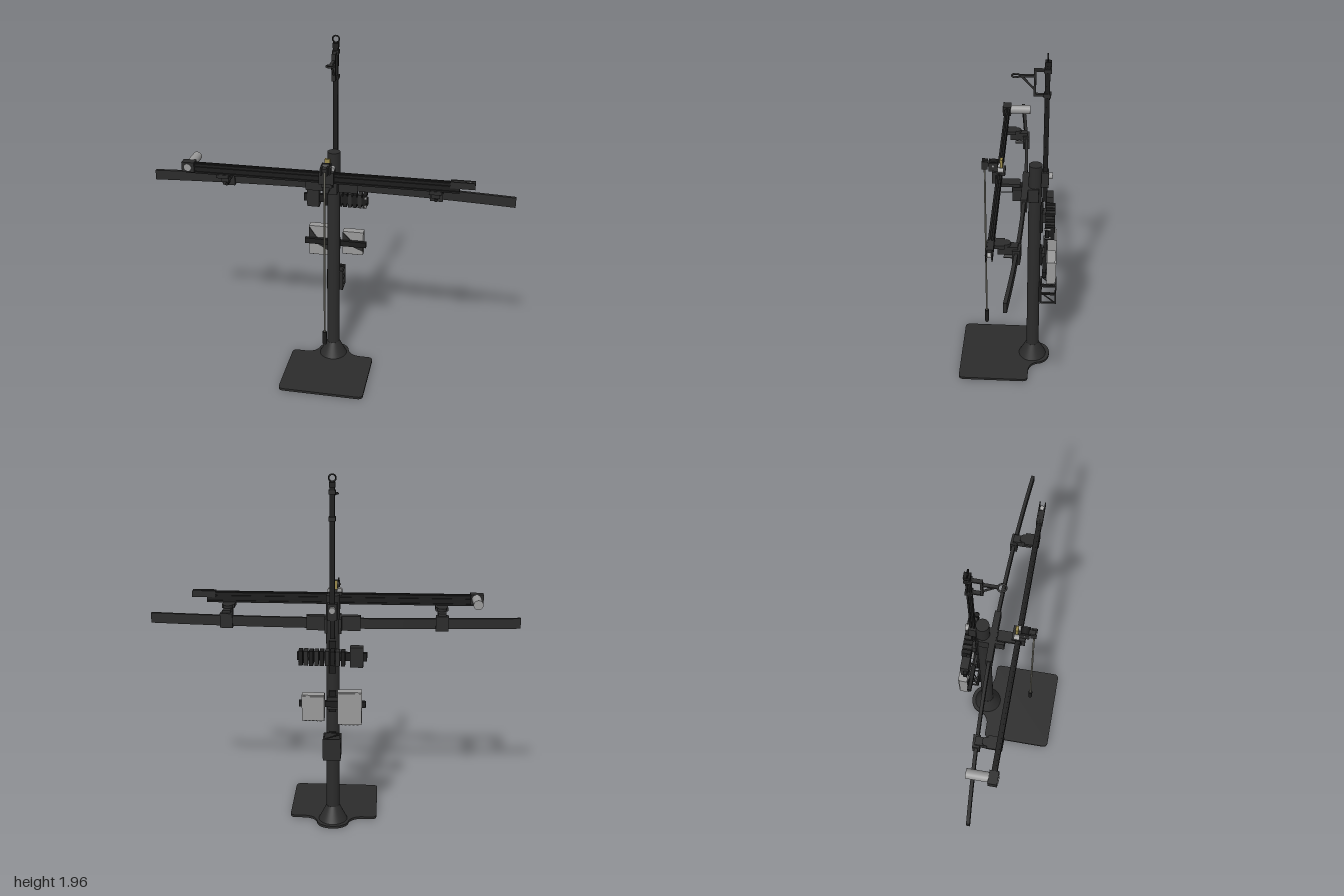
import * as THREE from 'three';

const mat = (color) => new THREE.MeshStandardMaterial({ color, side: THREE.DoubleSide });
const dark = mat(0x2b2b2b), black = mat(0x1b1b1b), grey = mat(0x999999), cord = mat(0x8a887c), brass = mat(0x9a8a4a);

export function createModel() {
  const root = new THREE.Group();
  let parent = root;

  const group = (name) => {
    parent = new THREE.Group();
    parent.name = name;
    root.add(parent);
    return parent;
  };
  const add = (name, geo, material = dark) => {
    const m = new THREE.Mesh(geo, material);
    m.name = name;
    parent.add(m);
    return m;
  };
  // box given by its limits on each axis
  const box = (name, x0, x1, y0, y1, z0, z1, material) => {
    const m = add(name, new THREE.BoxGeometry(x1 - x0, y1 - y0, z1 - z0), material);
    m.position.set((x0 + x1) / 2, (y0 + y1) / 2, (z0 + z1) / 2);
    return m;
  };
  // cylinder between two points
  const rod = (name, a, b, r, material, sides = 20, r2 = r) => {
    const p = new THREE.Vector3(...a), q = new THREE.Vector3(...b), d = q.clone().sub(p);
    const m = add(name, new THREE.CylinderGeometry(r2, r, d.length(), sides), material);
    m.position.copy(p).add(q).multiplyScalar(0.5);
    m.quaternion.setFromUnitVectors(new THREE.Vector3(0, 1, 0), d.normalize());
    return m;
  };
  // horizontal slab: shape drawn in x and -z, raised by h from y
  const slab = (name, shape, y, h, material) => {
    const g = new THREE.ExtrudeGeometry(shape, { depth: h, bevelEnabled: false, curveSegments: 16 });
    const m = add(name, g.rotateX(-Math.PI / 2), material);
    m.position.y = y;
    return m;
  };
  // slotted aluminium profile, w by h, with n slots on the long sides
  const slotted = (w, h, n) => {
    const s = new THREE.Shape(), d = w * 0.22, g = w * 0.14;
    s.moveTo(-w / 2, -h / 2);
    s.lineTo(w / 2, -h / 2);
    const slots = [...Array(n).keys()].map((i) => -h / 2 + (h * (i + 0.5)) / n);
    for (const y of slots) {
      s.lineTo(w / 2, y - g); s.lineTo(w / 2 - d, y - g);
      s.lineTo(w / 2 - d, y + g); s.lineTo(w / 2, y + g);
    }
    s.lineTo(w / 2, h / 2);
    s.lineTo(-w / 2, h / 2);
    for (const y of slots.reverse()) {
      s.lineTo(-w / 2, y + g); s.lineTo(-w / 2 + d, y + g);
      s.lineTo(-w / 2 + d, y - g); s.lineTo(-w / 2, y - g);
    }
    return s;
  };

  // Foot plate with a waisted neck around the post
  const postZ = -0.15;
  group('base');
  const foot = new THREE.Shape();
  foot.moveTo(-0.215, -0.275);
  foot.lineTo(0.215, -0.275);
  foot.quadraticCurveTo(0.245, -0.275, 0.245, -0.245);
  foot.lineTo(0.245, 0.1);
  foot.quadraticCurveTo(0.245, 0.13, 0.215, 0.13);
  foot.lineTo(0.16, 0.13);
  foot.quadraticCurveTo(0.105, 0.135, 0.09, 0.18);
  foot.bezierCurveTo(0.08, 0.275, -0.08, 0.275, -0.09, 0.18);
  foot.quadraticCurveTo(-0.105, 0.135, -0.16, 0.13);
  foot.lineTo(-0.215, 0.13);
  foot.quadraticCurveTo(-0.245, 0.13, -0.245, 0.1);
  foot.lineTo(-0.245, -0.245);
  foot.quadraticCurveTo(-0.245, -0.275, -0.215, -0.275);
  slab('footPlate', foot, 0, 0.014);
  rod('postFlare', [0, 0.014, postZ], [0, 0.1, postZ], 0.08, dark, 40, 0.037);

  // Post and slotted mast
  group('column');
  rod('post', [0, 0.014, postZ], [0, 1.325, postZ], 0.036, dark, 40);
  const mast = add('mast', new THREE.ExtrudeGeometry(slotted(0.026, 0.026, 1), { depth: 0.82, bevelEnabled: false }), black);
  mast.rotation.x = -Math.PI / 2;
  mast.position.set(0, 1.1, -0.202);
  box('mastCap', -0.016, 0.016, 1.895, 1.92, -0.222, -0.188, black);
  const eye = add('liftingEye', new THREE.TorusGeometry(0.018, 0.004, 10, 28), black);
  eye.position.set(0, 1.94, -0.202);
  box('mastClamp', -0.025, 0.025, 1.2, 1.29, -0.222, -0.182);
  rod('clampKnob', [0, 1.26, -0.22], [0, 1.26, -0.242], 0.018, grey, 12);
  [[0.68, 0.8], [0.9, 1.08], [0.42, 0.56]].forEach(([a, b]) => box('mountStrip', -0.018, 0.018, a, b, -0.196, -0.18, black));

  // Hook bracket near the mast top
  group('hookBracket');
  box('upright', -0.01, 0.01, 1.73, 1.875, -0.145, -0.133);
  [1.735, 1.87].forEach((y) => {
    box('standoff', -0.01, 0.01, y - 0.006, y + 0.006, -0.19, -0.135);
    box('collar', -0.018, 0.018, y - 0.01, y + 0.01, -0.222, -0.184);
  });
  box('arm', -0.008, 0.008, 1.832, 1.844, -0.135, -0.06);
  rod('brace', [0, 1.765, -0.137], [0, 1.836, -0.07], 0.006, dark, 10);
  const hook = add('hookRing', new THREE.TorusGeometry(0.02, 0.005, 10, 24));
  hook.rotation.x = Math.PI / 2;
  hook.position.set(0, 1.838, -0.042);

  // Bowed cross beam and its central sleeve
  group('crossBeam');
  const bowZ = (x) => -0.095 + 0.05 * x * x;
  const bow = (x0, x1, t) => {
    const front = [], back = [];
    for (let i = 0; i <= 32; i++) {
      const x = x0 + ((x1 - x0) * i) / 32;
      front.push(new THREE.Vector2(x, -bowZ(x) - t));
      back.unshift(new THREE.Vector2(x, -bowZ(x) + t));
    }
    return new THREE.Shape([...front, ...back]);
  };
  slab('beam', bow(-1, 1, 0.009), 1.125, 0.056);
  slab('centreSleeve', bow(-0.145, 0.145, 0.017), 1.115, 0.08);
  box('sleeveBlock', -0.04, 0.04, 1.12, 1.19, -0.1, -0.03);
  box('postSaddle', -0.045, 0.045, 1.115, 1.195, -0.17, -0.095);
  rod('clampScrew', [0, 1.15, -0.03], [0, 1.15, 0.035], 0.003, dark, 8);

  // Clamps carrying the rail on the beam
  const railZ = 0.043;
  for (const s of [-1, 1]) {
    group('railClamp');
    const x = s * 0.58;
    slab('beamSleeve', bow(x - 0.034, x + 0.034, 0.019), 1.115, 0.08);
    box('clampBody', x - 0.022, x + 0.022, 1.165, 1.21, -0.085, 0.015);
    rod('clampPivot', [x, 1.165, -0.025], [x, 1.225, -0.025], 0.024);
    box('railShelf', x - 0.034, x + 0.034, 1.205, 1.225, -0.02, 0.06);
    rod('clampBolt', [x, 1.14, -0.06], [x, 1.14, -0.015], 0.009, black, 8);
  }

  // Slotted travel rail with drive motor and idler
  group('travelRail');
  const rail = add('rail', new THREE.ExtrudeGeometry(slotted(0.028, 0.056, 2), { depth: 1.49, bevelEnabled: false }), black);
  rail.rotation.y = Math.PI / 2;
  rail.position.set(-0.785, 1.251, railZ);
  box('driveHousing', -0.805, -0.735, 1.232, 1.288, 0.02, 0.068);
  rod('drivePulley', [-0.77, 1.26, 0.066], [-0.77, 1.26, 0.072], 0.02, grey, 24);
  rod('driveMotor', [-0.767, 1.262, 0.02], [-0.767, 1.262, -0.095], 0.026, grey, 32);
  for (const z of [railZ - 0.015, railZ + 0.015]) box('idlerCheek', 0.655, 0.785, 1.252, 1.288, z - 0.003, z + 0.003);
  box('idlerBridge', 0.655, 0.735, 1.252, 1.285, railZ - 0.014, railZ + 0.014);
  rod('idlerPulley', [0.757, 1.27, railZ - 0.01], [0.757, 1.27, railZ + 0.01], 0.013, grey, 20);
  [1.283, 1.23].forEach((y) => box('belt', -0.74, 0.68, y - 0.002, y + 0.002, railZ - 0.005, railZ + 0.005, black));

  // Trolley with the pull cord
  group('trolley');
  box('underPlate', -0.03, 0.03, 1.2, 1.218, -0.07, 0.065);
  box('supportLeg', -0.02, 0.02, 1.165, 1.205, -0.075, -0.025);
  box('carriage', -0.04, 0.04, 1.275, 1.293, 0.01, 0.08);
  box('carriageFront', -0.04, 0.04, 1.225, 1.293, 0.062, 0.08);
  for (const s of [-1, 1]) {
    rod('roller', [s * 0.026, 1.3, 0.02], [s * 0.026, 1.3, 0.05], 0.014, grey, 18);
    box('pulleyCheek', s * 0.022 - 0.003, s * 0.022 + 0.003, 1.29, 1.34, 0.05, 0.1);
    box('cordGuideCheek', s * 0.016 - 0.004, s * 0.016 + 0.004, 1.3, 1.345, 0.105, 0.137);
  }
  rod('pulley', [-0.018, 1.325, 0.075], [0.018, 1.325, 0.075], 0.022, black, 24);
  rod('axle', [-0.03, 1.325, 0.075], [0.03, 1.325, 0.075], 0.006, grey, 12);
  box('sensor', -0.014, 0.014, 1.305, 1.355, 0.025, 0.04, brass);
  box('cordGuide', -0.014, 0.014, 1.315, 1.335, 0.095, 0.13);
  rod('cord', [0, 0.32, 0.122], [0, 1.325, 0.122], 0.005, cord, 10);
  rod('handle', [0, 0.25, 0.122], [0, 0.33, 0.122], 0.012, black, 18);
  rod('handleEnd', [0, 0.243, 0.122], [0, 0.252, 0.122], 0.009, grey, 18);

  // Row of terminals on the back of the post
  group('terminalRow');
  box('mountBlock', -0.03, 0.03, 0.975, 1.035, -0.215, -0.19);
  box('terminalRail', -0.185, 0.185, 0.985, 1.03, -0.232, -0.212, black);
  box('endTerminal', -0.165, -0.095, 0.955, 1.065, -0.25, -0.205);
  for (let i = 0; i < 9; i++) {
    const x = -0.07 + i * 0.028;
    box('terminal', x, x + 0.022, 0.965, 1.045, -0.262, -0.21, i % 2 ? dark : black);
  }
  [0.98, 1.03].forEach((y) => rod('railScrew', [0.172, y, -0.24], [0.172, y, -0.205], 0.007, grey, 8));

  // Two control boxes with gusset brackets
  group('controlBoxes');
  box('boxMount', -0.03, 0.03, 0.7, 0.77, -0.212, -0.19);
  box('boxRail', -0.18, 0.18, 0.717, 0.75, -0.222, -0.2, black);
  const gusset = (a, b, c) => {
    const s = new THREE.Shape([a, b, c].map((p) => new THREE.Vector2(...p)));
    add('gusset', new THREE.ExtrudeGeometry(s, { depth: 0.006, bevelEnabled: false }), dark).position.z = -0.224;
  };
  for (const [x0, x1, y0, y1] of [[-0.16, -0.03, 0.637, 0.822], [0.04, 0.16, 0.657, 0.802]]) {
    box('controlBox', x0, x1, y0, y1, -0.27, -0.224, grey);
    box('boxLid', x0 + 0.006, x1 - 0.006, y0 + 0.006, y1 - 0.006, -0.276, -0.268, grey);
    for (let i = 1; i < 6; i++) {
      const x = x0 + ((x1 - x0) * i) / 6;
      box('connector', x - 0.006, x + 0.006, y0 - 0.008, y0 + 0.002, -0.258, -0.238, grey);
    }
    gusset([x1, y0 + 0.025], [x1, 0.72], [x0 + 0.03, 0.72]);
    gusset([x0, y1 - 0.005], [x0, 0.745], [x0 + 0.05, 0.745]);
  }

  // Open holder low on the post
  group('holder');
  box('backPanel', -0.048, 0.048, 0.43, 0.555, -0.282, -0.274);
  box('postPanel', -0.048, 0.048, 0.43, 0.555, -0.198, -0.19);
  for (const y of [0.434, 0.495, 0.551]) {
    for (const s of [-1, 1]) box('sideBar', s * 0.044 - 0.004, s * 0.044 + 0.004, y - 0.004, y + 0.004, -0.276, -0.196);
    if (y !== 0.495) rod('diagonal', [-0.044, y, -0.196], [0.044, y, -0.276], 0.004, dark, 8);
  }
  return root;
}
